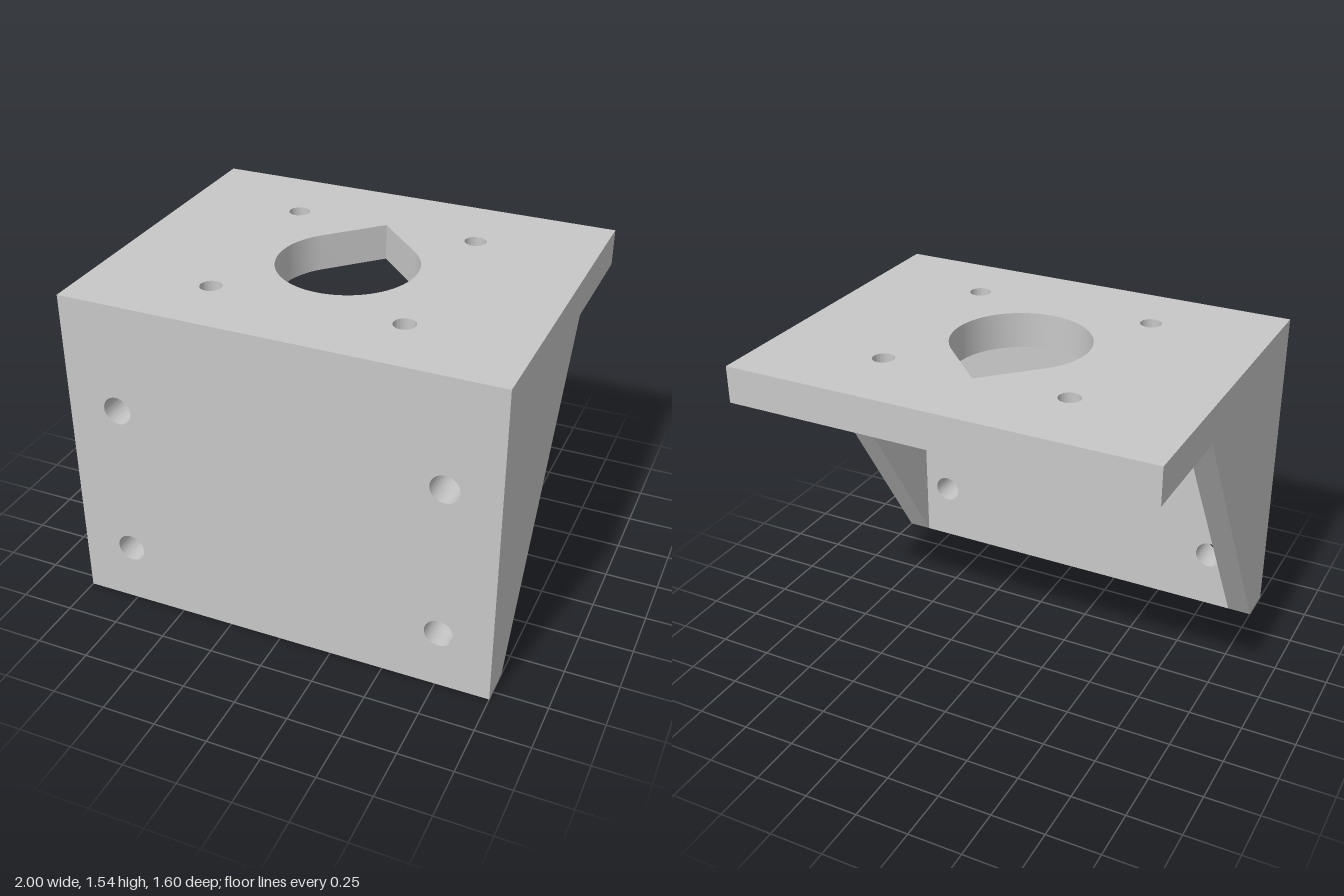
import * as THREE from 'three';
import { toCreasedNormals } from 'three/addons/utils/BufferGeometryUtils.js';

const HEIGHT = 1.545, DEPTH = 1.6, PLATE = 0.172, RIB = 0.115;
const UNDERSIDE = HEIGHT - PLATE;      // lower face of the top plate
const INNER = DEPTH / 2 - PLATE;       // rear face of the front plate

function polygon(points) {
  return new THREE.Shape(points.map(([x, y]) => new THREE.Vector2(x, y)));
}

function addHole(shape, x, y, radius) {
  const hole = new THREE.Path();
  hole.absarc(x, y, radius, 0, Math.PI * 2, true);
  shape.holes.push(hole);
}

function extrude(shape, depth) {
  const geometry = new THREE.ExtrudeGeometry(shape, { depth, bevelEnabled: false, curveSegments: 40 });
  return toCreasedNormals(geometry, Math.PI / 6);
}

export function createModel() {
  const group = new THREE.Group();
  const grey = new THREE.MeshStandardMaterial({ color: 0xc8c8c8 });
  grey.name = 'lightGrey';

  function add(name, geometry) {
    const mesh = new THREE.Mesh(geometry, grey);
    mesh.name = name;
    group.add(mesh);
    return mesh;
  }

  // Top plate: teardrop opening surrounded by four screw holes
  const d = DEPTH / 2, cy = -0.022, r = 0.323;
  const top = polygon([[-1, -d], [1, -d], [1, d], [-1, d]]);
  const teardrop = new THREE.Path();
  teardrop.absarc(0, cy, r, Math.PI / 4, Math.PI * 3 / 4, true);
  teardrop.lineTo(0, cy + r * Math.SQRT2);
  teardrop.closePath();
  top.holes.push(teardrop);
  for (const sx of [-1, 1])
    for (const sy of [-1, 1]) addHole(top, sx * 0.444, cy + sy * 0.444, 0.05);
  const topPlate = add('topPlate', extrude(top, PLATE).rotateX(-Math.PI / 2));
  topPlate.position.y = UNDERSIDE;

  // Front mounting plate with four bolt holes
  const front = polygon([[-1, 0], [1, 0], [1, UNDERSIDE], [-1, UNDERSIDE]]);
  for (const x of [-0.757, 0.757])
    for (const y of [0.287, 1.03]) addHole(front, x, y, 0.066);
  add('frontPlate', extrude(front, PLATE)).position.z = INNER;

  // Triangular side ribs joining the two plates
  const rib = polygon([[INNER, 0], [INNER, UNDERSIDE], [-0.227, UNDERSIDE]]);
  const ribGeometry = extrude(rib, RIB).rotateY(-Math.PI / 2);
  add('leftRib', ribGeometry).position.x = 1;
  add('rightRib', ribGeometry).position.x = -1 + RIB;

  return group;
}
